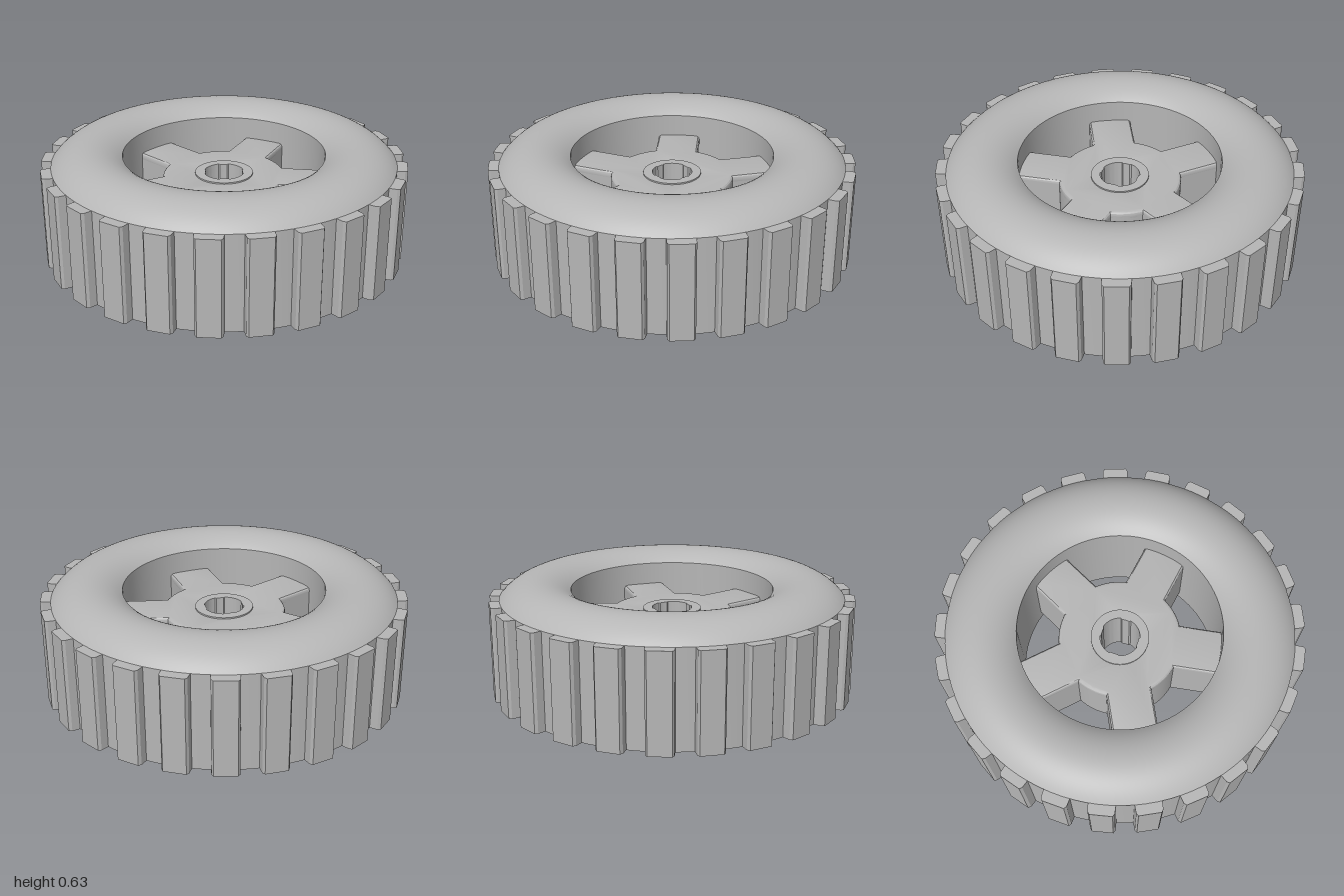
import * as THREE from 'three';
import { toCreasedNormals } from 'three/addons/utils/BufferGeometryUtils.js';

const TAU = Math.PI * 2;
const grey = new THREE.MeshStandardMaterial({ color: 0xb6b6b6 });
grey.name = 'grey plastic';

const V = (x, y) => new THREE.Vector2(x, y);

function mesh(name, geometry) {
  const m = new THREE.Mesh(toCreasedNormals(geometry, 0.5), grey);
  m.name = name;
  return m;
}

// Extrude an outline upwards from y0 to y1; outline +y points to the back
function slab(name, outline, y0, y1, hole, bevel = 0) {
  const shape = new THREE.Shape(outline);
  if (hole) shape.holes.push(new THREE.Path(hole));
  const geo = new THREE.ExtrudeGeometry(shape, {
    depth: y1 - y0 - 2 * bevel, bevelEnabled: bevel > 0, bevelThickness: bevel,
    bevelSize: bevel, bevelOffset: -bevel, bevelSegments: 3,
  });
  geo.rotateX(-Math.PI / 2).translate(0, y0 + bevel, 0);
  return mesh(name, geo);
}

function ring(radiusAt, steps = 64) {
  return Array.from({ length: steps }, (_, i) => {
    const a = (i / steps) * TAU, r = radiusAt(a);
    return V(r * Math.cos(a), r * Math.sin(a));
  });
}

// Rounded crown of the tyre, from outer edge to inner edge
function crown(rOuter, rInner, radius) {
  const cx = 0.735, cy = 0.354, n = 24;
  const a0 = Math.acos((rOuter - cx) / radius), a1 = Math.acos((rInner - cx) / radius);
  return Array.from({ length: n + 1 }, (_, i) => {
    const a = a0 + ((a1 - a0) * i) / n;
    return V(cx + radius * Math.cos(a), cy + radius * Math.sin(a));
  });
}

// Five-spoked star around a central disc
function star(halfWidth, disc, reach) {
  const pts = [], half = Math.asin(halfWidth / disc);
  for (let k = 0; k < 5; k++) {
    const mid = Math.PI / 2 + (k * TAU) / 5;
    const at = (along, side) => V(
      along * Math.cos(mid) - side * Math.sin(mid),
      along * Math.sin(mid) + side * Math.cos(mid));
    pts.push(at(reach, -halfWidth), at(reach, halfWidth));
    for (let i = 0; i <= 8; i++) {
      const a = mid + half + ((TAU / 5 - 2 * half) * i) / 8;
      pts.push(V(disc * Math.cos(a), disc * Math.sin(a)));
    }
  }
  return pts;
}

export function createModel() {
  const wheel = new THREE.Group();
  wheel.name = 'wheel';

  // Hollow tyre shell, open underneath
  const outer = crown(0.945, 0.557, 0.274);
  const inner = crown(0.92, 0.588, 0.246);
  const profile = [
    V(0.92, 0), V(0.945, 0), ...outer, V(0.557, 0), V(0.588, 0), ...inner.slice().reverse(), V(0.92, 0),
  ];
  wheel.add(mesh('tyreShell', new THREE.LatheGeometry(profile, 96)));

  // Tread blocks
  const block = [V(-0.072, 0.93), V(0.072, 0.93), V(0.07, 0.985), V(0.06, 1), V(-0.06, 1), V(-0.07, 0.985)];
  const tread = slab('treadBlock', block, 0, 0.53);
  for (let k = 0; k < 25; k++) {
    const t = tread.clone();
    t.rotation.y = (k * TAU) / 25;
    wheel.add(t);
  }

  // Thin ribs bracing the tyre cavity
  const ribShape = new THREE.Shape([V(0.57, 0.004), V(0.93, 0.004), ...crown(0.93, 0.57, 0.26)]);
  const ribGeo = new THREE.ExtrudeGeometry(ribShape, { depth: 0.016, bevelEnabled: false });
  ribGeo.translate(0, 0, -0.008);
  const rib = mesh('cavityRib', ribGeo);
  for (let k = 0; k < 10; k++) {
    const r = rib.clone();
    r.rotation.y = Math.PI / 2 + (k * TAU) / 10;
    wheel.add(r);
  }

  // Hollow hub: rounded top plate over thin walls
  const hub = new THREE.Group();
  hub.name = 'hub';
  wheel.add(hub);
  const outline = star(0.123, 0.338, 0.57);
  hub.add(slab('hubTop', outline, 0.385, 0.438, ring(() => 0.125), 0.018));
  hub.add(slab('hubWalls', outline, 0.07, 0.418, star(0.098, 0.313, 0.54)));

  // Axle tube with a keyed bore, and its raised collar
  const bore = ring((a) => (Math.abs(Math.sin(2 * a)) > 0.88 ? 0.122 : 0.11) * (Math.abs(Math.sin(2 * a)) > 0.88 ? 0.84 : 1), 96);
  hub.add(slab('axleTube', ring(() => 0.142), 0.065, 0.44, bore));
  hub.add(slab('axleCollar', ring(() => 0.16), 0.4, 0.446, bore));

  // Centre rib under each spoke
  for (let k = 0; k < 5; k++) {
    const spokeRib = slab('spokeRib', [V(-0.01, 0.135), V(0.01, 0.135), V(0.01, 0.55), V(-0.01, 0.55)], 0.08, 0.4);
    spokeRib.rotation.y = (k * TAU) / 5;
    hub.add(spokeRib);
  }
  return wheel;
}
